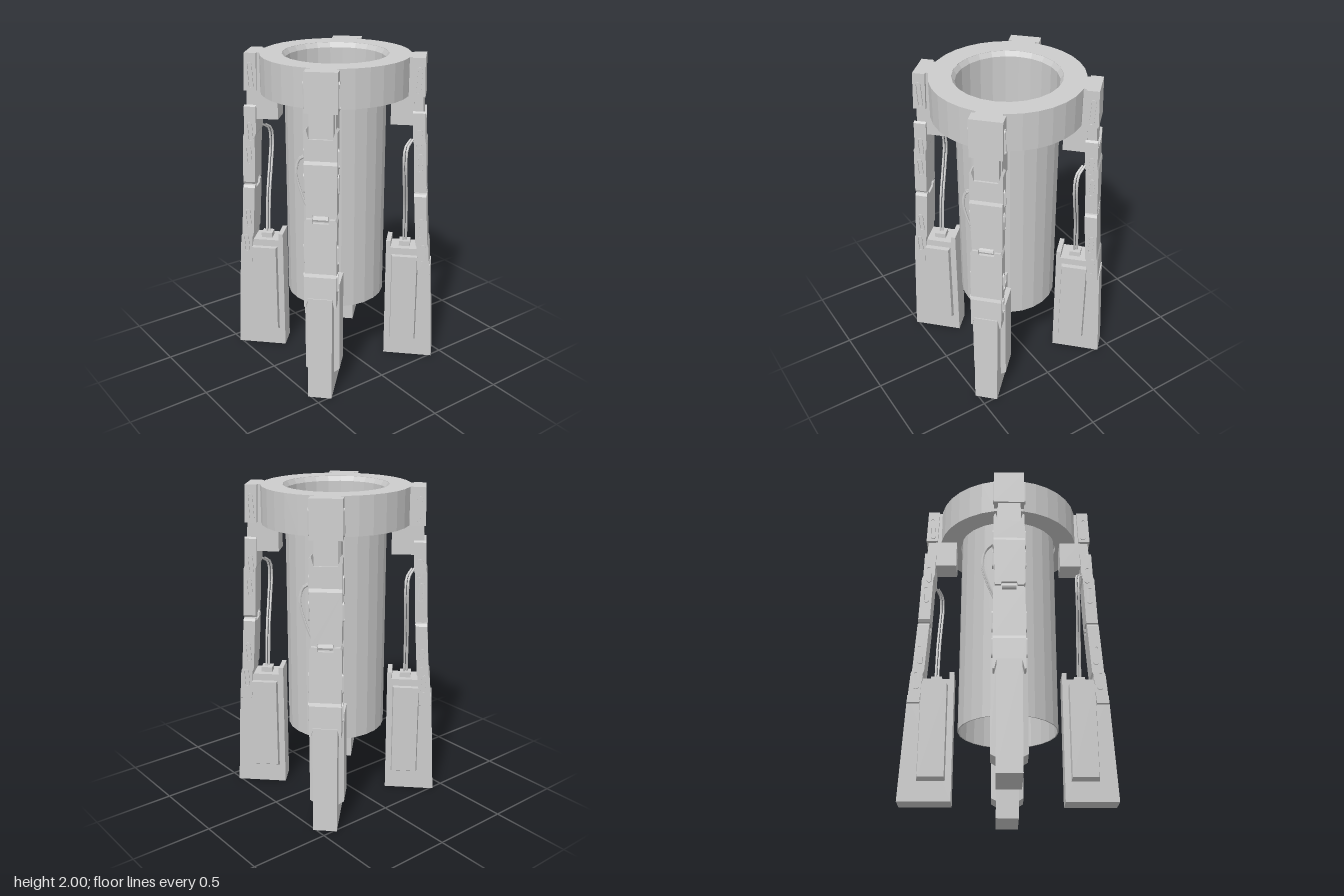
import * as THREE from 'three';

const grey = new THREE.MeshStandardMaterial({ color: 0xcccccc });
grey.name = 'grey';

// faceted mesh with a name
function part(name, geometry, parent) {
  const g = geometry.index ? geometry.toNonIndexed() : geometry;
  g.computeVertexNormals();
  const mesh = new THREE.Mesh(g, grey);
  mesh.name = name;
  parent.add(mesh);
  return mesh;
}

const shapeOf = (pts) => new THREE.Shape(pts.map(([x, y]) => new THREE.Vector2(x, y)));

const ngon = (r, n) => Array.from({ length: n }, (_, i) => {
  const a = (i / n) * Math.PI * 2;
  return [r * Math.cos(a), r * Math.sin(a)];
});

// side outline in (radius, height), extruded across the leg
function sideSlab(pts, width) {
  const g = new THREE.ExtrudeGeometry(shapeOf(pts), { depth: width, bevelEnabled: false });
  return g.translate(0, 0, -width / 2).rotateY(-Math.PI / 2);
}

// outer radius of the leg covers at a given height
const line = [[2, 0.54], [1.77, 0.548], [1.68, 0.553], [1.5, 0.558], [1.48, 0.566],
  [1.17, 0.577], [0.82, 0.598], [0.8, 0.606], [0.6, 0.62]];
function coverRadius(y) {
  for (let i = 1; i < line.length; i++) {
    const [y0, r0] = line[i - 1], [y1, r1] = line[i];
    if (y >= y1 - 1e-6) return r0 + (r1 - r0) * (y0 - y) / (y0 - y1);
  }
  return 0.62;
}

// face outline in (across, height), thickened inward and leaned along the cover line
function coverPiece(pts, thick = 0.075, inset = 0) {
  const g = new THREE.ExtrudeGeometry(shapeOf(pts), { depth: thick, bevelEnabled: false });
  const p = g.attributes.position;
  for (let i = 0; i < p.count; i++) {
    p.setZ(i, p.getZ(i) - thick - inset + coverRadius(p.getY(i)));
  }
  return g;
}
const rect = (w, y0, y1) => [[-w, y0], [w, y0], [w, y1], [-w, y1]];

// rounded slot frame
function slotGeometry(w, h) {
  const stadium = (P, r, l) => {
    const s = new P();
    s.absarc(0, l, r, 0, Math.PI, false);
    s.absarc(0, -l, r, Math.PI, Math.PI * 2, false);
    s.closePath();
    return s;
  };
  const s = stadium(THREE.Shape, w / 2, (h - w) / 2);
  s.holes.push(stadium(THREE.Path, w / 2 - 0.007, (h - w) / 2));
  return new THREE.ExtrudeGeometry(s, { depth: 0.007, bevelEnabled: false, curveSegments: 6 });
}

// raised panel: bevelled block on the side of the foot (+x side)
function footPanel() {
  const g = new THREE.BoxGeometry(0.034, 0.61, 0.17);
  const p = g.attributes.position;
  for (let i = 0; i < p.count; i++) {
    if (p.getX(i) > 0) {
      p.setZ(i, p.getZ(i) * 0.93);
      if (p.getY(i) < 0) p.setY(i, p.getY(i) + 0.02);
    }
  }
  return g.translate(0.088, 0.425, 0.458);
}

function makeLeg() {
  const leg = new THREE.Group();
  leg.name = 'leg';
  const W = 0.095;

  // bracket and arm joining the leg to the collar
  part('collarArm', new THREE.BoxGeometry(0.15, 0.23, 0.11).translate(0, 1.885, 0.44), leg);
  part('bracket', sideSlab([[0.345, 1.59], [0.485, 1.59], [0.485, 1.77], [0.345, 1.77]], 0.15), leg);

  // outer covers
  part('topCover', coverPiece(rect(W, 1.77, 2)), leg);
  part('topLink', coverPiece(rect(0.07, 1.6, 1.78), 0.055, 0.012), leg);
  part('upperCoverHead', coverPiece([[-W, 1.5], [W, 1.5], [W, 1.67], [0.083, 1.68],
    [0.068, 1.625], [-0.068, 1.625], [-0.083, 1.68], [-W, 1.67]]), leg);
  part('upperCoverBand', coverPiece(rect(W, 1.48, 1.5)), leg);
  part('upperCover', coverPiece([[-0.085, 1.165], [-0.05, 1.165], [-0.045, 1.185], [0.045, 1.185],
    [0.05, 1.165], [0.085, 1.165], [W, 1.18], [W, 1.48], [-W, 1.48]]), leg);
  part('lowerCover', coverPiece([[-W, 0.82], [W, 0.82], [W, 1.14], [0.085, 1.155], [0.05, 1.155],
    [0.045, 1.13], [-0.045, 1.13], [-0.05, 1.155], [-0.085, 1.155], [-W, 1.14]]), leg);
  part('lowerCoverBand', coverPiece(rect(W, 0.8, 0.82)), leg);
  part('lowerCoverTail', coverPiece([[-W, 0.61], [-0.085, 0.605], [-0.072, 0.665], [0.072, 0.665],
    [0.085, 0.605], [W, 0.61], [W, 0.8], [-W, 0.8]]), leg);
  part('jointBlock', coverPiece(rect(0.06, 1.1, 1.22), 0.045, 0.018), leg);
  part('jointPin', new THREE.CylinderGeometry(0.017, 0.017, 0.085, 8)
    .rotateZ(Math.PI / 2).translate(0, 1.155, 0.564), leg);

  // slots along both cover edges
  const slots = [[1.865, 0.16], [1.51, 0.12], [1.36, 0.12], [0.93, 0.13], [0.755, 0.12]];
  for (const [y, h] of slots) {
    for (const side of [-1, 1]) {
      const slot = part('edgeSlot', slotGeometry(0.034, h), leg);
      slot.rotation.set(0.05, side * Math.PI / 2, 0, 'XYZ');
      slot.position.set(side * W, y, coverRadius(y) - 0.038);
    }
  }

  // foot
  part('foot', sideSlab([[0.336, 0], [0.654, 0], [0.622, 0.665], [0.57, 0.665], [0.555, 0.82],
    [0.53, 0.82], [0.53, 0.775], [0.365, 0.775], [0.365, 0.82], [0.336, 0.82]], 0.146), leg);
  part('footPanel', footPanel(), leg);
  part('footPanel', footPanel().rotateY(Math.PI).translate(0, 0, 0.916), leg);
  part('cableSocket', new THREE.BoxGeometry(0.07, 0.035, 0.07).translate(0, 0.79, 0.45), leg);

  // pair of cables
  for (const d of [-0.008, 0.008]) {
    const path = new THREE.CatmullRomCurve3([[0, 0.78, 0.45], [-0.02, 0.9, 0.45], [-0.055, 1.06, 0.45],
      [-0.13, 1.25, 0.448], [-0.163, 1.38, 0.445], [-0.145, 1.47, 0.45], [-0.09, 1.51, 0.48]]
      .map(([x, y, z]) => new THREE.Vector3(x + d * 0.4, y, z + d)));
    part('cable', new THREE.TubeGeometry(path, 24, 0.007, 6), leg);
  }
  return leg;
}

export function createModel() {
  const model = new THREE.Group();
  model.name = 'leggedTube';

  // open tube with a flared mouth
  const profile = [[0.303, 1.97], [0.303, 0.45], [0.31, 0.45], [0.31, 1.8], [0.323, 1.8], [0.323, 2], [0.303, 1.97]];
  part('tube', new THREE.LatheGeometry(profile.map(([x, y]) => new THREE.Vector2(x, y)), 24), model);

  // collar
  const ring = shapeOf(ngon(0.455, 32));
  ring.holes.push(new THREE.Path(ngon(0.322, 24).map(([x, y]) => new THREE.Vector2(x, y))));
  part('collar', new THREE.ExtrudeGeometry(ring, { depth: 0.23, bevelEnabled: false })
    .rotateX(-Math.PI / 2).translate(0, 1.77, 0), model);

  // four legs on the diagonals
  for (let i = 0; i < 4; i++) {
    const leg = makeLeg();
    leg.rotation.y = Math.PI / 4 + i * Math.PI / 2;
    model.add(leg);
  }
  return model;
}
